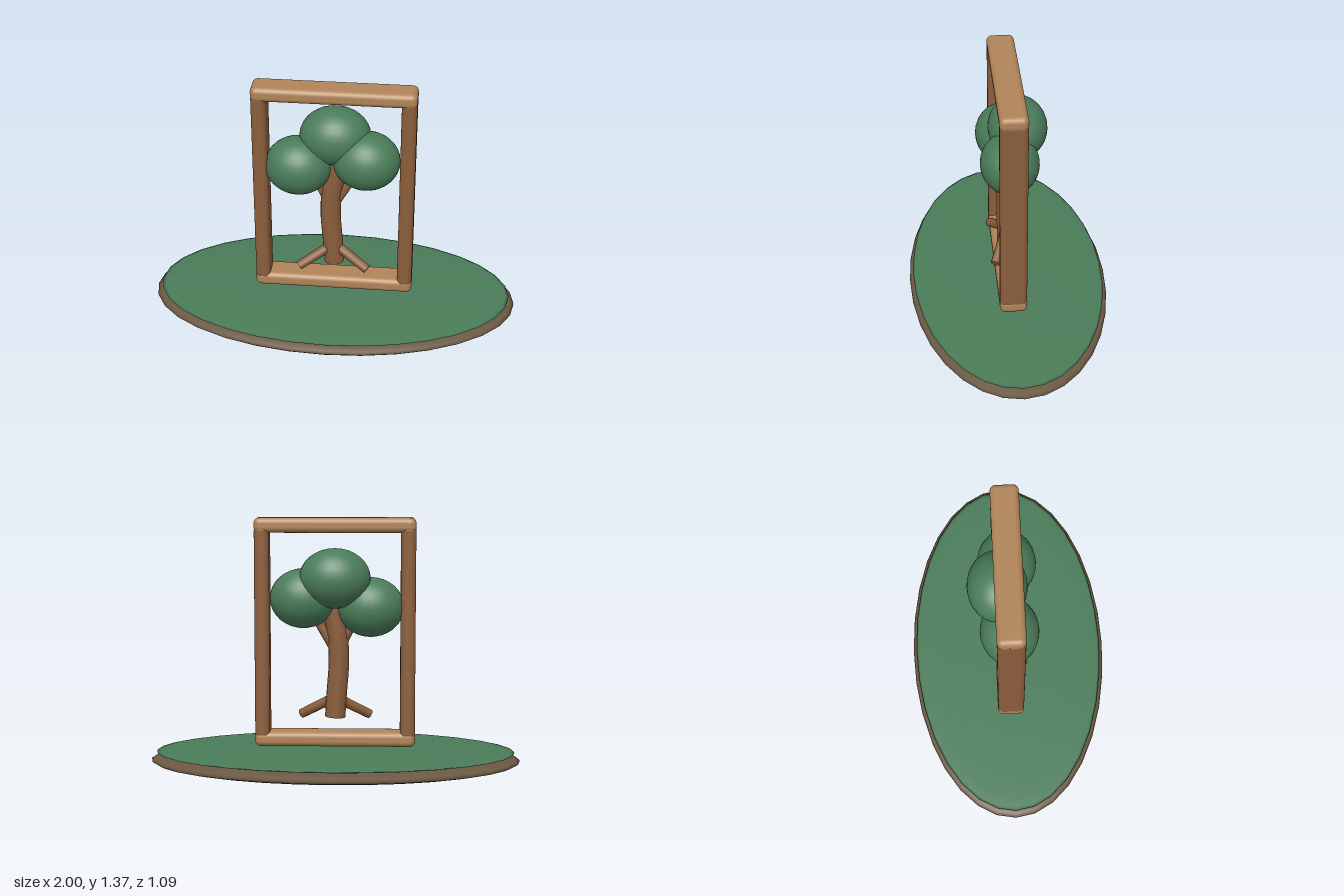
import * as THREE from 'three';
import { RoundedBoxGeometry } from 'three/addons/geometries/RoundedBoxGeometry.js';

const material = (color) => new THREE.MeshStandardMaterial({ color });

export function createModel() {
  const model = new THREE.Group();
  const bark = material(0x8b5e3c);
  const paleWood = material(0xb08458);
  const leaf = material(0x4a7c59);
  const grass = material(0x4a7c59);
  const soil = material(0x6b5844);

  const add = (name, geometry, mat, x = 0, y = 0, z = 0) => {
    const mesh = new THREE.Mesh(geometry, mat);
    mesh.name = name;
    mesh.position.set(x, y, z);
    model.add(mesh);
    return mesh;
  };
  const ellipsoid = (name, mat, center, radii, segments = 32) =>
    add(name, new THREE.SphereGeometry(1, segments, 16).scale(...radii), mat, ...center);

  // Straight round limb between two points
  const limb = (name, from, to, r0, r1) => {
    const a = new THREE.Vector3(...from);
    const b = new THREE.Vector3(...to);
    const dir = b.clone().sub(a);
    const mesh = add(name, new THREE.CylinderGeometry(r1, r0, dir.length(), 12), bark);
    mesh.position.copy(a).add(b).multiplyScalar(0.5);
    mesh.quaternion.setFromUnitVectors(new THREE.Vector3(0, 1, 0), dir.normalize());
  };

  // Oval ground: soil lens with a thin grass lens on top
  ellipsoid('soil', soil, [0, 0.06, 0], [1, 0.06, 0.545]);
  ellipsoid('grass', grass, [0, 0.105, 0], [0.97, 0.018, 0.525]);

  // Frame: two pale rails and two darker posts
  for (const [name, y] of [['bottomRail', 0.18], ['topRail', 1.33]]) {
    add(name, new RoundedBoxGeometry(0.862, 0.08, 0.147, 4, 0.03), paleWood, 0, y, 0);
  }
  for (const [name, side] of [['leftPost', 1], ['rightPost', -1]]) {
    add(name, new RoundedBoxGeometry(0.08, 1.15, 0.145, 4, 0.03), bark, side * 0.39, 0.755, 0);
  }

  // Curved trunk, closed at both ends
  const path = new THREE.CatmullRomCurve3([
    [0, 0.295], [-0.008, 0.42], [-0.02, 0.6], [-0.01, 0.76], [0.03, 0.92],
  ].map(([x, y]) => new THREE.Vector3(x, y, 0)));
  add('trunk', new THREE.TubeGeometry(path, 24, 0.055, 16), bark);
  for (const [name, t, turn] of [['trunkFoot', 0, Math.PI / 2], ['trunkTop', 1, -Math.PI / 2]]) {
    const p = path.getPoint(t);
    add(name, new THREE.CircleGeometry(0.055, 16).rotateX(turn), bark, p.x, p.y, p.z);
  }

  // Roots and branches on both sides
  for (const side of [1, -1]) {
    const label = side > 0 ? 'left' : 'right';
    limb(label + 'Root', [side * 0.02, 0.39, 0.01], [side * 0.187, 0.295, 0.08], 0.027, 0.025);
    limb(label + 'Branch', [side * 0.02 - 0.01, 0.68, 0], [side * 0.12, 0.86, 0], 0.028, 0.022);
  }

  // Foliage
  ellipsoid('rightFoliage', leaf, [-0.19, 0.892, 0], [0.18, 0.16, 0.155]);
  ellipsoid('leftFoliage', leaf, [0.17, 0.938, 0], [0.18, 0.16, 0.155]);
  ellipsoid('topFoliage', leaf, [0, 1.05, -0.055], [0.19, 0.16, 0.157]);

  return model;
}
